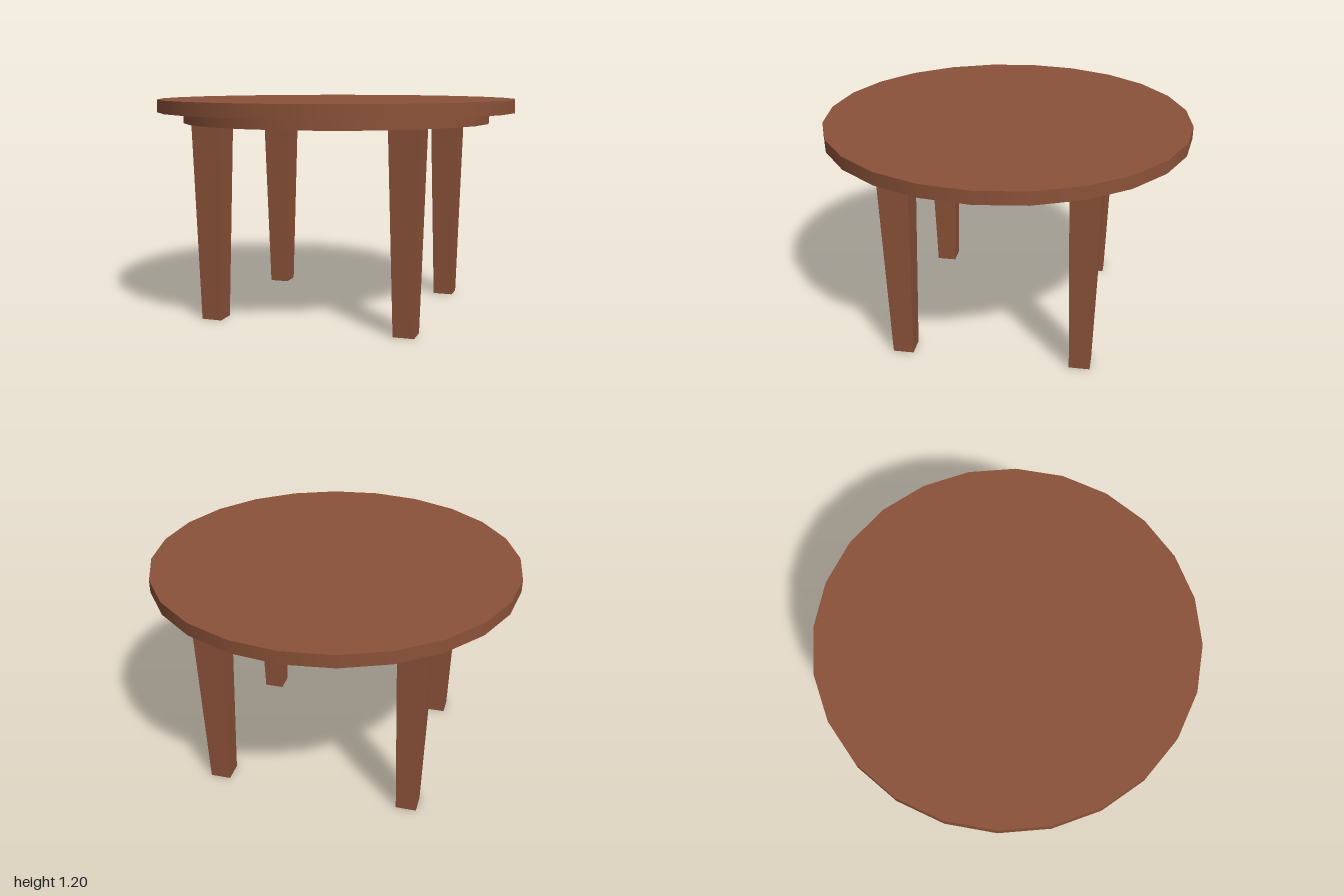
import * as THREE from 'three';

export function createModel() {
  const table = new THREE.Group();
  table.name = 'roundTable';
  const color = 0x8b5239;
  const wood = new THREE.MeshStandardMaterial({ color });
  const legWood = new THREE.MeshStandardMaterial({ color, flatShading: true, side: THREE.DoubleSide });

  // Round slab spanning two heights
  function addDisc(name, radius, bottom, top) {
    const disc = new THREE.Mesh(new THREE.CylinderGeometry(radius, radius, top - bottom, 24), wood);
    disc.position.y = (bottom + top) / 2;
    disc.name = name;
    table.add(disc);
  }
  addDisc('tabletop', 1, 1.125, 1.195);
  addDisc('apron', 0.86, 1.065, 1.125);

  // Four square legs, tapering to the floor and open at the ends
  const legHeight = 1.065;
  const legGeometry = new THREE.CylinderGeometry(0.0825 * Math.SQRT2, 0.056 * Math.SQRT2, legHeight, 4, 1, true);
  legGeometry.rotateY(Math.PI / 4);
  legGeometry.translate(0, legHeight / 2, 0);
  for (const [sx, side] of [[1, 'Left'], [-1, 'Right']]) {
    for (const [sz, end] of [[1, 'front'], [-1, 'back']]) {
      const leg = new THREE.Mesh(legGeometry, legWood);
      leg.position.set(sx * 0.54, 0, sz * 0.487);
      leg.name = `${end}${side}Leg`;
      table.add(leg);
    }
  }
  return table;
}
